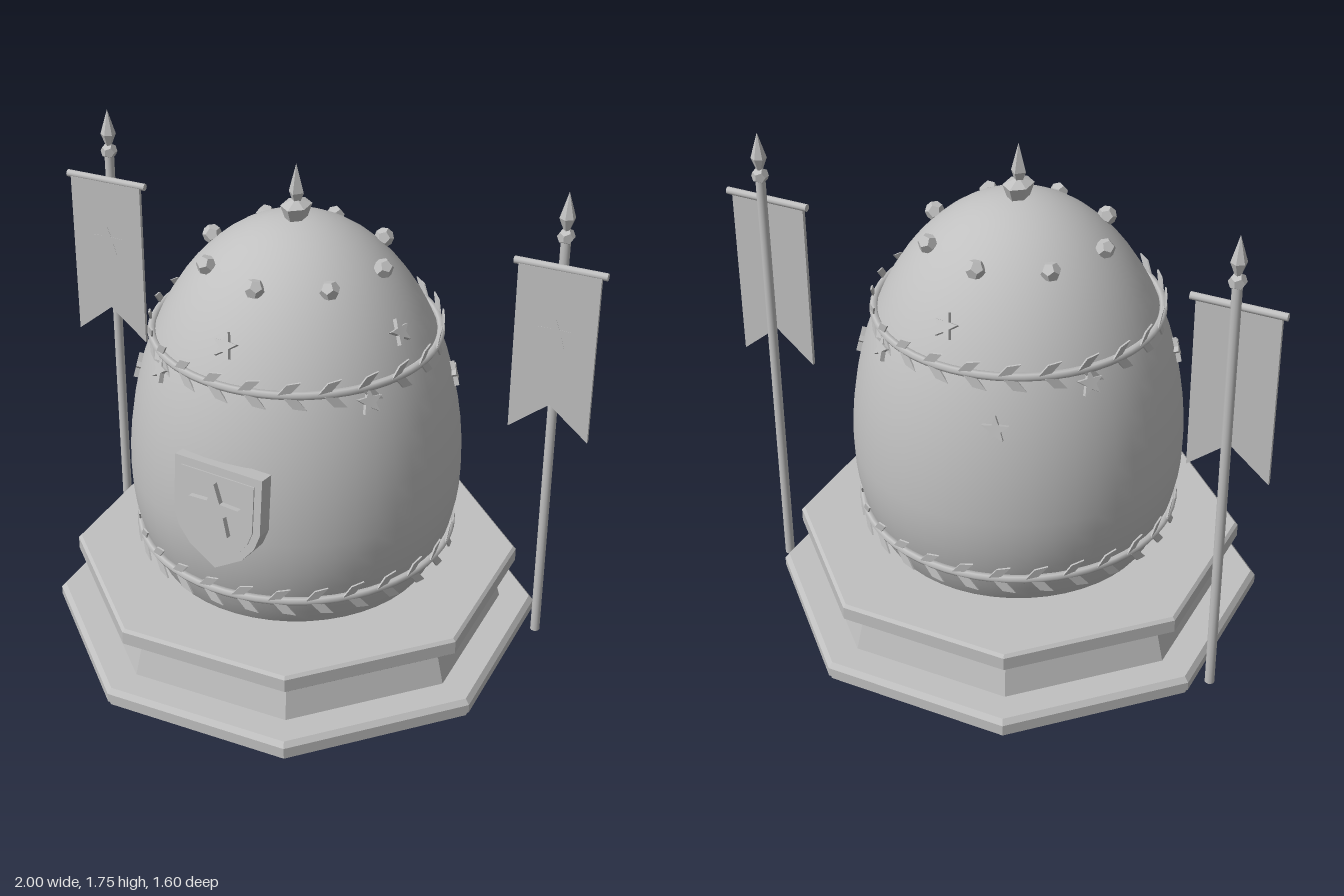
import * as THREE from 'three';

const stone = new THREE.MeshStandardMaterial({ color: 0xc0c0c0 });
stone.name = 'light grey';

function add(parent, geo, name, x = 0, y = 0, z = 0) {
  const m = new THREE.Mesh(geo, stone);
  m.name = name;
  m.position.set(x, y, z);
  parent.add(m);
  return m;
}
// faceted normals
function flat(geo) {
  const g = geo.index ? geo.toNonIndexed() : geo;
  g.computeVertexNormals();
  return g;
}
const vecs = (pts) => pts.map(([x, y]) => new THREE.Vector2(x, y));
const lathe = (pts, sides) => new THREE.LatheGeometry(vecs(pts), sides);
const plate = (pts, depth, bevel = 0) => new THREE.ExtrudeGeometry(new THREE.Shape(vecs(pts)), {
  depth, bevelEnabled: bevel > 0, bevelSize: bevel, bevelThickness: bevel, bevelSegments: 1, curveSegments: 8,
});
function star(r, depth) {
  const pts = [];
  for (let i = 0; i < 10; i++) {
    const a = Math.PI / 2 + i * Math.PI / 5, k = i % 2 ? r * 0.42 : r;
    pts.push([Math.cos(a) * k, Math.sin(a) * k]);
  }
  return plate(pts, depth);
}

// egg radius at a height
const MID = 0.65, RAD = 0.577, UP = 0.91, DOWN = 0.68;
const eggR = (y) => RAD * Math.sqrt(Math.max(0, 1 - ((y - MID) / (y > MID ? UP : DOWN)) ** 2));

// place an object on the egg, facing outwards; angle runs from +z towards +x
function onEgg(obj, angle, y, lift = 0) {
  const r = eggR(y), b = y > MID ? UP : DOWN;
  const n = new THREE.Vector3(r / RAD ** 2, (y - MID) / b ** 2, 0).normalize();
  const rr = r + n.x * lift;
  obj.position.set(Math.sin(angle) * rr, y + n.y * lift, Math.cos(angle) * rr);
  obj.rotation.set(-Math.asin(n.y), angle, 0, 'YXZ');
}

function plinth() {
  const k = 1 / Math.cos(Math.PI / 8);
  const profile = [[0, 0], [0.79, 0], [0.79, 0.012], [0.8, 0.018], [0.8, 0.05], [0.785, 0.068], [0.685, 0.068],
    [0.648, 0.212], [0.715, 0.212], [0.73, 0.225], [0.73, 0.272], [0.72, 0.282], [0, 0.282]];
  const g = flat(lathe(profile.map(([r, y]) => [r * k, y]), 8));
  g.rotateY(Math.PI / 8);
  return g;
}

function egg() {
  const pts = [[0, 0.24]];
  for (let i = 0; i <= 24; i++) {
    const t = -0.647 + (i / 24) * (Math.PI / 2 + 0.647);
    pts.push([i === 24 ? 0 : RAD * Math.cos(t), MID + Math.sin(t) * (t > 0 ? UP : DOWN)]);
  }
  return lathe(pts, 48);
}

// ring with a row of leaves above and below
function garland(name, y, count) {
  const g = new THREE.Group();
  g.name = name;
  const r = eggR(y) + 0.01;
  const ring = new THREE.TorusGeometry(r, 0.014, 6, 64);
  ring.rotateX(Math.PI / 2);
  add(g, ring, 'garlandRing', 0, y, 0);
  for (const s of [1, -1]) {
    const leaf = plate([[0, 0.006 * s], [0.043, 0.012 * s], [0.075, 0.052 * s], [0.03, 0.044 * s]], 0.006);
    leaf.translate(-0.037, 0, 0);
    for (let i = 0; i < count; i++) {
      const a = ((i + 0.5 + (s < 0 ? 0.15 : 0)) / count) * Math.PI * 2;
      const m = add(g, leaf, 'garlandLeaf', Math.sin(a) * r, y, Math.cos(a) * r);
      m.rotation.set(0.12 * s, a + 0.08, 0, 'YXZ');
    }
  }
  return g;
}

function shield() {
  const g = new THREE.Group();
  g.name = 'shield';
  const outline = (k) => [[-0.165, 0.18], [0.165, 0.18], [0.165, -0.02], [0.145, -0.075], [0.1, -0.13], [0, -0.19],
    [-0.1, -0.13], [-0.145, -0.075], [-0.165, -0.02]].map(([x, y]) => [x * k, y * k]);
  add(g, plate(outline(1), 0.055), 'shieldPlate', 0, 0, -0.05);
  add(g, plate(outline(0.84), 0.006), 'shieldPanel', 0, 0, 0.004);
  add(g, star(0.098, 0.024), 'shieldStar', 0, 0.03, 0.006);
  g.position.set(0, 0.745, 0.597);
  g.rotation.set(-0.09, -0.1, 0, 'YXZ');
  return g;
}

function finial() {
  const g = new THREE.Group();
  g.name = 'finial';
  const base = flat(lathe([[0, -0.03], [0.038, -0.03], [0.062, 0.03], [0, 0.052]], 6));
  add(g, base, 'finialGem', 0, 1.572, 0).scale.set(0.8, 1, 1.05);
  add(g, flat(lathe([[0.006, 1.59], [0.027, 1.645], [0, 1.745]], 4)), 'finialSpike');
  return g;
}

function banner(side) {
  const g = new THREE.Group();
  g.name = side > 0 ? 'leftBanner' : 'rightBanner';
  const z = -0.235;
  add(g, new THREE.CylinderGeometry(0.017, 0.017, 1.55, 12), 'pole', 0, 0.775, z);
  add(g, flat(new THREE.DodecahedronGeometry(0.03)), 'poleKnob', 0, 1.555, z);
  add(g, flat(lathe([[0.008, 1.57], [0.027, 1.62], [0, 1.71]], 6)), 'spearHead', 0, 0, z);
  const bar = new THREE.CylinderGeometry(0.013, 0.013, 0.315, 10);
  bar.rotateZ(Math.PI / 2);
  add(g, bar, 'crossbar', 0, 1.455, -0.205);
  add(g, plate([[-0.14, 1.45], [-0.14, 0.84], [0, 0.955], [0.14, 0.84], [0.14, 1.45]], 0.014), 'flag', 0, 0, -0.207);
  add(g, star(0.06, 0.006), 'flagStar', 0, 1.22, -0.198);
  g.position.x = 0.843 * side;
  return g;
}

export function createModel() {
  const root = new THREE.Group();
  root.name = 'decoratedEgg';
  add(root, plinth(), 'plinth');
  add(root, egg(), 'egg');
  root.add(garland('lowerGarland', 0.415, 28), garland('upperGarland', 1.162, 24), shield(), finial());
  root.add(banner(1), banner(-1));

  // ring of gems near the top
  const gem = flat(new THREE.DodecahedronGeometry(0.034));
  for (let i = 0; i < 8; i++) onEgg(add(root, gem, 'gem'), (i * Math.PI) / 4, 1.425, 0.014);

  // scattered stars: [x, z, height]
  const small = star(0.046, 0.018);
  const spots = [[-0.05, 0.43, 1.27], [0.42, 0.1, 1.27], [0.05, -0.43, 1.27],
    [0.41, 0.31, 1.115], [-0.31, 0.41, 1.115], [-0.41, -0.31, 1.115], [0.31, -0.41, 1.115],
    [-0.5, 0.21, 0.995], [-0.17, -0.52, 0.995], [0.51, -0.2, 0.995]];
  for (const [x, z, y] of spots) onEgg(add(root, small, 'star'), Math.atan2(x, z), y, -0.004);
  return root;
}
